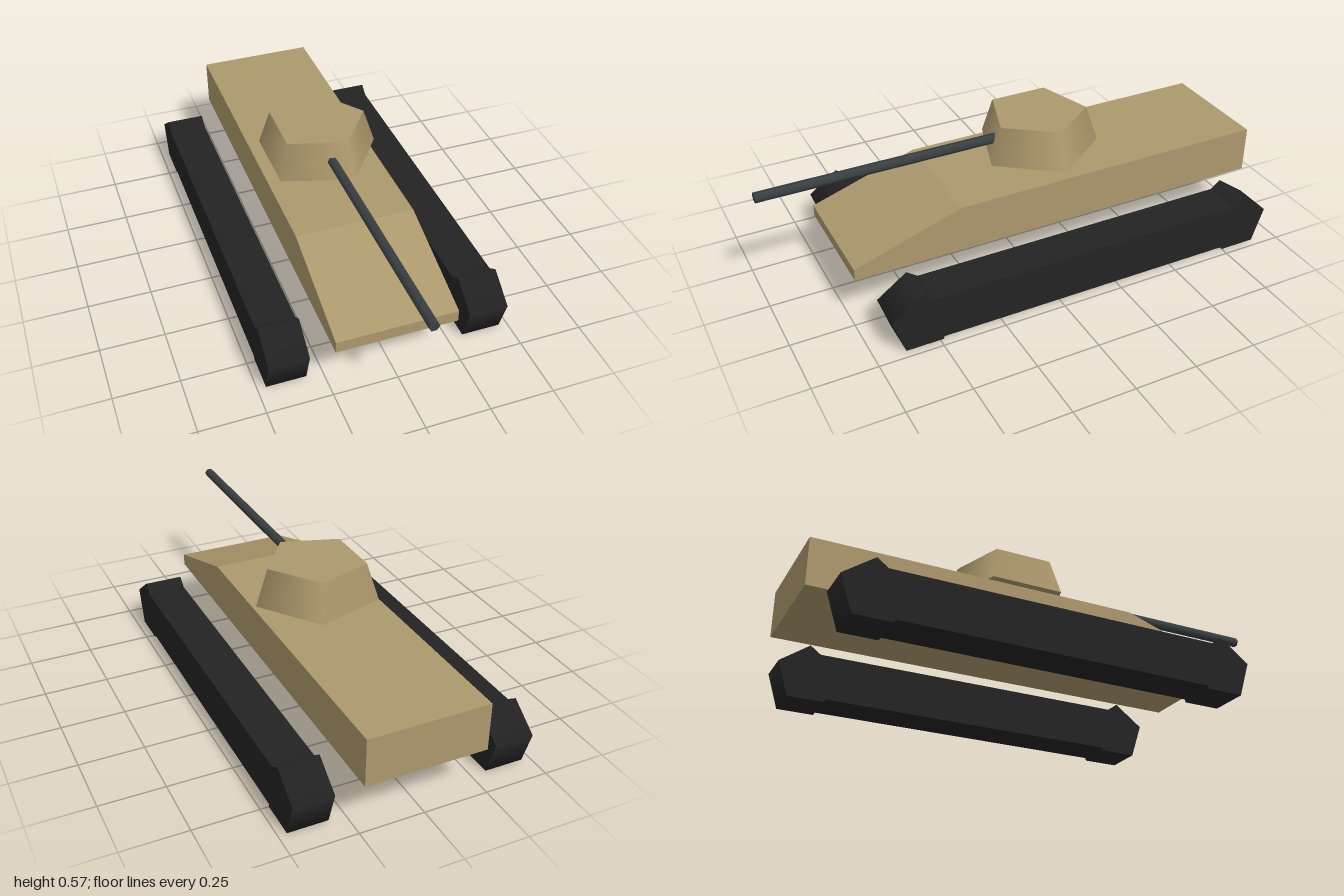
import * as THREE from 'three';

const paint = new THREE.MeshStandardMaterial({ color: 0xac986c });
paint.name = 'sandPaint';
const rubber = new THREE.MeshStandardMaterial({ color: 0x232323 });
rubber.name = 'blackRubber';
const steel = new THREE.MeshStandardMaterial({ color: 0x394042 });
steel.name = 'darkSteel';

export function createModel() {
  const model = new THREE.Group();
  model.name = 'tank';

  function add(name, geometry, material, x = 0, y = 0, z = 0, parent = model) {
    const mesh = new THREE.Mesh(geometry, material);
    mesh.name = name;
    mesh.position.set(x, y, z);
    parent.add(mesh);
    return mesh;
  }

  // Prism-like cylinder whose first corner points along +x
  const prism = (top, bottom, height, sides) =>
    new THREE.CylinderGeometry(top, bottom, height, sides, 1, false, Math.PI / 2);

  // Hull: side profile (z, y) with a sloped nose, extruded across the width
  const hullWidth = 0.47;
  const profile = new THREE.Shape(
    [[-1, 0.19], [0.73, 0.19], [0.73, 0.237], [0.3, 0.378], [-1, 0.378]]
      .map(([z, y]) => new THREE.Vector2(z, y)));
  const hull = new THREE.ExtrudeGeometry(profile, { depth: hullWidth, bevelEnabled: false });
  hull.translate(0, 0, -hullWidth / 2).rotateY(-Math.PI / 2);
  add('hull', hull, paint);

  // Five-sided turret floating above the hull
  add('turret', prism(0.197, 0.246, 0.148, 5), paint, 0, 0.491, -0.135);

  // Gun barrel
  add('gunBarrel', prism(0.02, 0.02, 1, 6).rotateX(Math.PI / 2), steel, 0, 0.49, 0.5);

  // Tracks: a long beam with a five-sided wheel at each end
  const wheel = prism(0.124, 0.124, 0.154, 5).rotateZ(Math.PI / 2);
  const beam = new THREE.BoxGeometry(0.154, 0.182, 1.34);
  for (const [side, sign] of [['left', 1], ['right', -1]]) {
    const track = new THREE.Group();
    track.name = side + 'Track';
    track.position.x = sign * 0.39;
    model.add(track);
    add(side + 'TrackBeam', beam, rubber, 0, 0.102, -0.133, track);
    add(side + 'FrontWheel', wheel, rubber, 0, 0.1, 0.56, track);
    add(side + 'RearWheel', wheel, rubber, 0, 0.1, -0.825, track);
  }

  return model;
}
